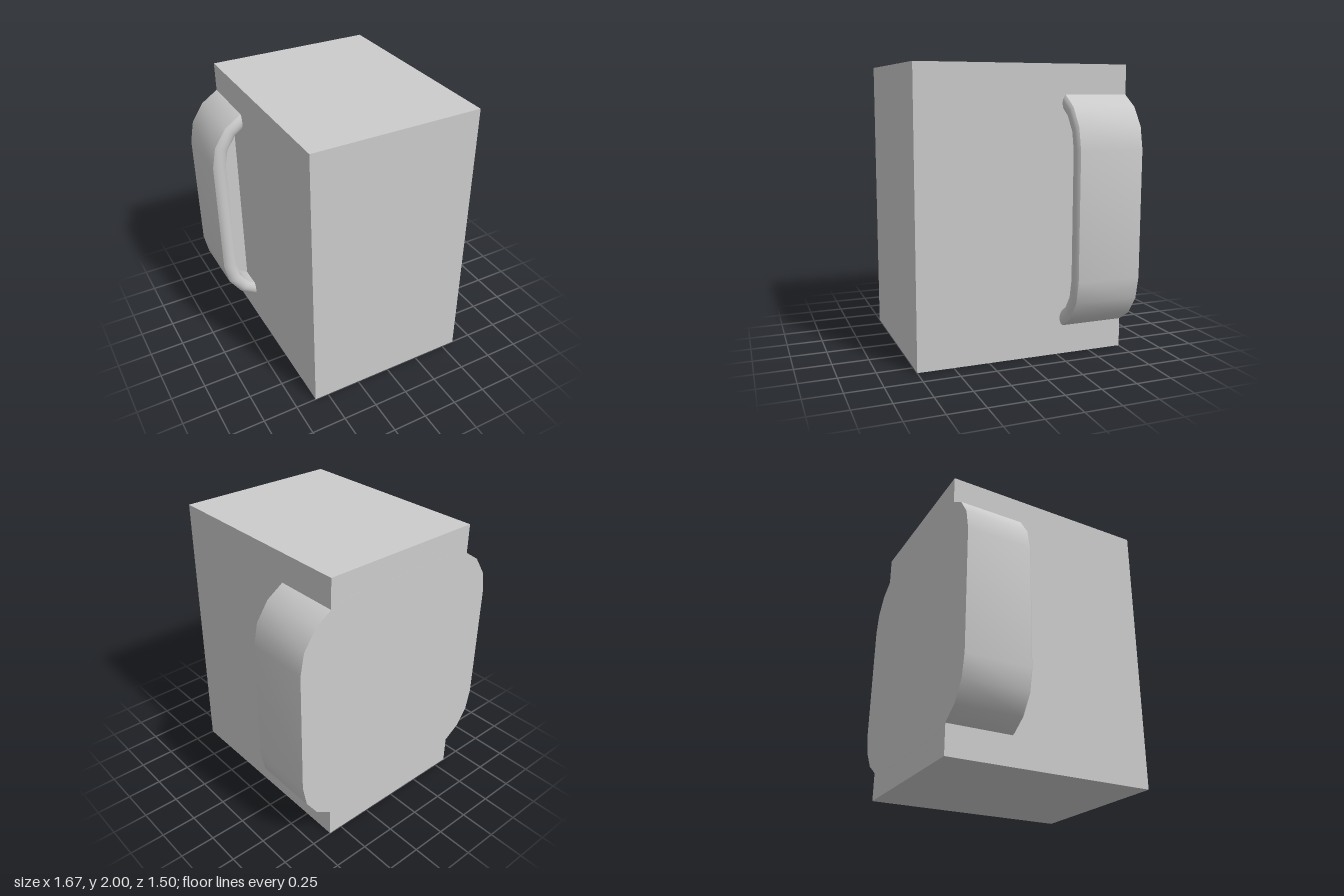
import * as THREE from 'three';
import { toCreasedNormals } from 'three/addons/utils/BufferGeometryUtils.js';

const grey = new THREE.MeshStandardMaterial({ color: 0xcccccc });

// Rounded square, counter-clockwise, pulled in by inset around fixed corner centres
const CORE = 0.435, RADIUS = 0.4, STEPS = 4;
function outline(inset) {
  const pts = [];
  for (let c = 0; c < 4; c++) {
    const mid = Math.PI / 4 + c * Math.PI / 2;
    const cx = CORE * Math.sign(Math.cos(mid)), cy = CORE * Math.sign(Math.sin(mid));
    for (let s = 0; s <= STEPS; s++) {
      const a = (c + s / STEPS) * Math.PI / 2;
      pts.push([cx + (RADIUS - inset) * Math.cos(a), cy + (RADIUS - inset) * Math.sin(a)]);
    }
  }
  return pts;
}

// Sweep a profile of [inset, z] pairs around the outline and close both ends
function trayGeometry(profile) {
  const pos = [], idx = [];
  for (const [inset, z] of profile) for (const [x, y] of outline(inset)) pos.push(x, y, z);
  const n = 4 * (STEPS + 1), last = profile.length - 1;
  for (let k = 0; k < last; k++) for (let j = 0; j < n; j++) {
    const a = k * n + j, b = k * n + (j + 1) % n;
    idx.push(a, b, b + n, a, b + n, a + n);
  }
  const back = pos.length / 3, floor = back + 1;
  pos.push(0, 0, profile[0][1], 0, 0, profile[last][1]);
  for (let j = 0; j < n; j++) {
    const next = (j + 1) % n;
    idx.push(back, next, j, floor, last * n + j, last * n + next);
  }
  const g = new THREE.BufferGeometry();
  g.setAttribute('position', new THREE.Float32BufferAttribute(pos, 3));
  g.setIndex(idx);
  return toCreasedNormals(g, 0.6);
}

export function createModel() {
  const group = new THREE.Group();

  // Main block
  const body = new THREE.Mesh(new THREE.BoxGeometry(1.2, 2, 1.5), grey);
  body.name = 'body';
  body.position.y = 1;
  group.add(body);

  // Rounded backing with a softly domed rim and a recessed floor
  const profile = [[0, -0.7505]];
  const rim = 0.095, arcSteps = 6, half = 0.87, r = rim / 2 / Math.sin(half);
  for (let i = 0; i <= arcSteps; i++) {
    const a = -half + 2 * half * i / arcSteps;
    profile.push([rim / 2 + r * Math.sin(a), -0.272 - r * (1 - Math.cos(a))]);
  }
  profile.push([rim, -0.45]);
  const backing = new THREE.Mesh(trayGeometry(profile), grey);
  backing.name = 'backRim';
  backing.position.y = 1;
  group.add(backing);

  return group;
}
